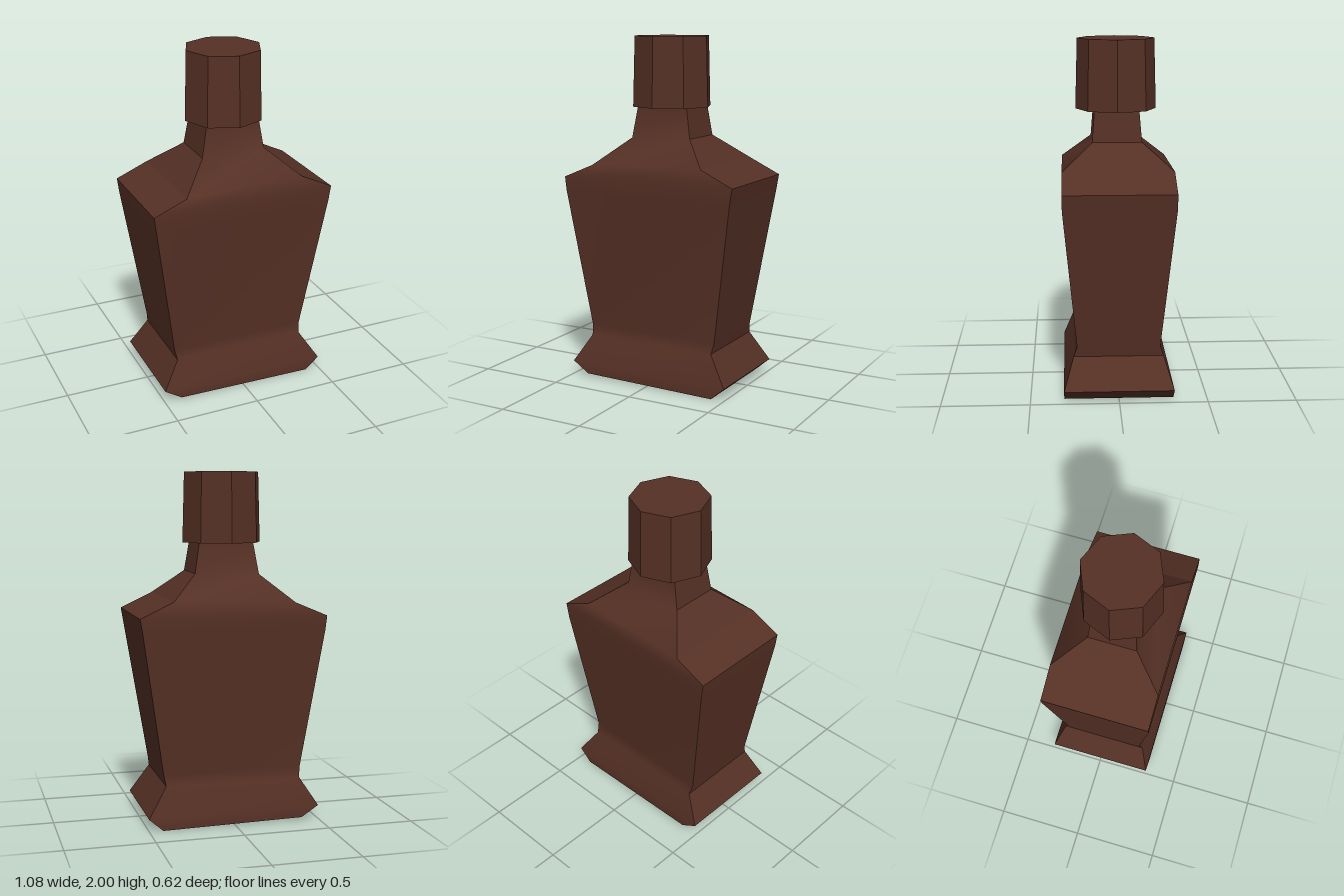
import * as THREE from 'three';

// Rectangular cross-sections, bottom to top: [left y, left x, right y, right x, half depth]
const SECTIONS = [
  [0.015, -0.40, 0.00, 0.42, 0.31],
  [0.08, -0.50, 0.07, 0.50, 0.31],
  [0.24, -0.40, 0.24, 0.39, 0.255],
  [0.30, -0.41, 0.30, 0.40, 0.235],
  [1.11, -0.53, 1.11, 0.525, 0.312],
  [1.19, -0.54, 1.20, 0.54, 0.312],
  [1.27, -0.35, 1.29, 0.35, 0.312],
  [1.42, -0.185, 1.43, 0.19, 0.14],
  [1.62, -0.15, 1.62, 0.16, 0.125],
];

// Surface between two edge lines; a lies left and b right as seen from outside
function strip(a, b, smooth) {
  const points = [], index = [];
  a.forEach((p, i) => {
    points.push(...p, ...b[i]);
    if (i > 0) {
      const k = 2 * i;
      index.push(k - 2, k - 1, k + 1, k - 2, k + 1, k);
    }
  });
  let geometry = new THREE.BufferGeometry();
  geometry.setAttribute('position', new THREE.Float32BufferAttribute(points, 3));
  geometry.setIndex(index);
  if (!smooth) geometry = geometry.toNonIndexed();
  geometry.computeVertexNormals();
  return geometry;
}

export function createModel() {
  const model = new THREE.Group();
  model.name = 'bottle';
  const brown = new THREE.MeshStandardMaterial({ color: 0x553025 });
  brown.name = 'dark brown';

  const add = (name, geometry, parent) => {
    const mesh = new THREE.Mesh(geometry, brown);
    mesh.name = name;
    parent.add(mesh);
    return mesh;
  };

  // Four vertical corner lines of the body
  const corner = (side, sign) => SECTIONS.map((s) => [s[side * 2 + 1], s[side * 2], sign * s[4]]);
  const leftFront = corner(0, 1), leftBack = corner(0, -1);
  const rightFront = corner(1, 1), rightBack = corner(1, -1);

  // Body: smooth front and back, faceted sides, flat base
  const body = new THREE.Group();
  body.name = 'body';
  model.add(body);
  add('frontPanel', strip(leftFront, rightFront, true), body);
  add('backPanel', strip(rightBack, leftBack, true), body);
  add('leftSide', strip(rightFront, rightBack, false), body);
  add('rightSide', strip(leftBack, leftFront, false), body);
  add('base', strip([leftBack[0], leftFront[0]], [rightBack[0], rightFront[0]], false), body);

  // Eight-sided tapered stopper
  const stopper = new THREE.CylinderGeometry(0.22, 0.231, 0.4, 8).toNonIndexed();
  stopper.computeVertexNormals();
  add('stopper', stopper, model).position.y = 1.8;

  return model;
}
